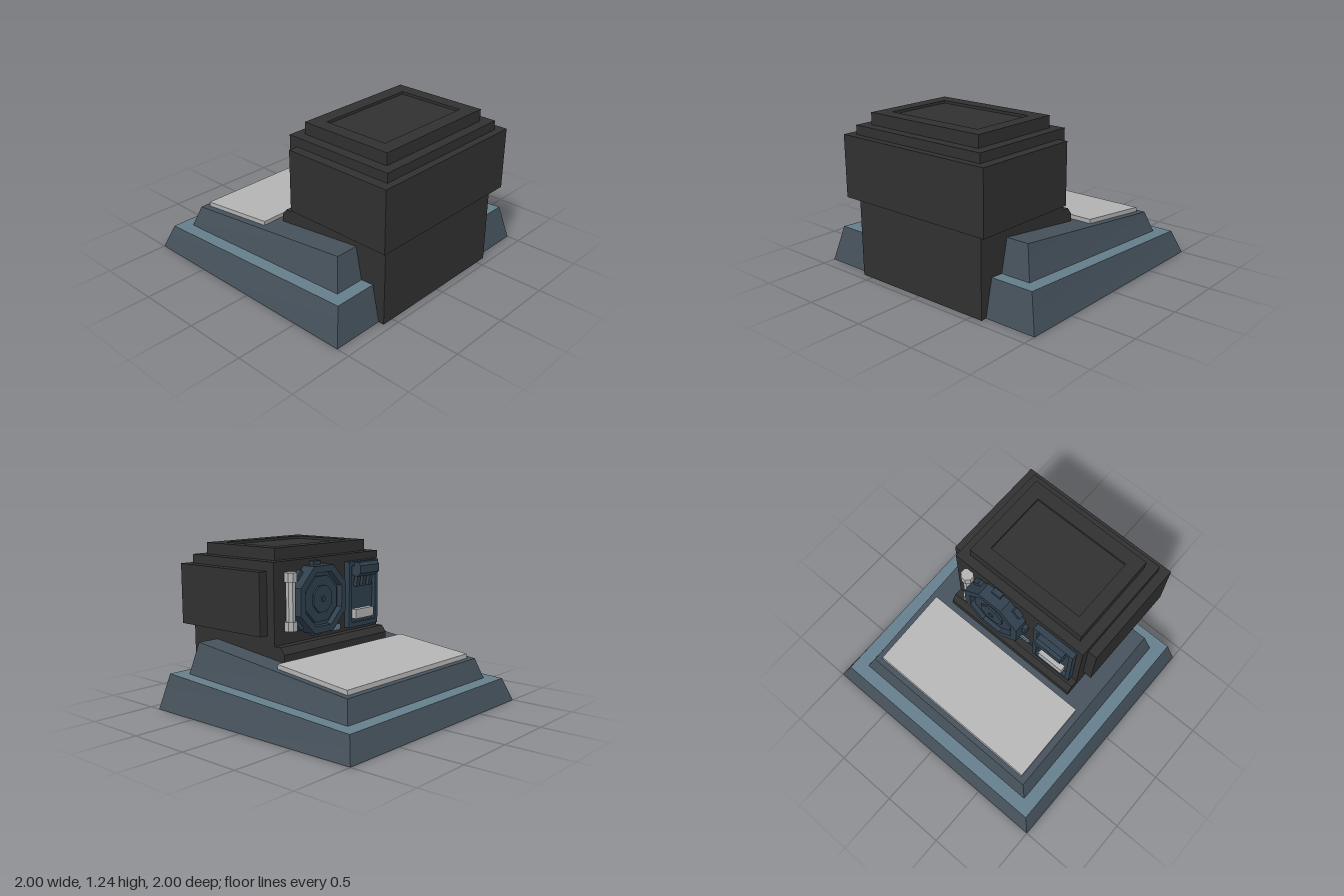
import * as THREE from 'three';

const mat = (name, color) => {
  const m = new THREE.MeshStandardMaterial({ color });
  m.name = name;
  return m;
};

export function createModel() {
  const black = mat('charcoal', 0x303030);
  const slate = mat('slate', 0x45515b);
  const steel = mat('steel blue', 0x647e8b);
  const navy = mat('dark blue', 0x30404d);
  const grey = mat('light grey', 0xb4b4b4);

  const model = new THREE.Group();
  model.name = 'console';

  const add = (name, geo, material, x = 0, y = 0, z = 0, parent = model) => {
    const m = new THREE.Mesh(geo, material);
    m.name = name;
    m.position.set(x, y, z);
    parent.add(m);
    return m;
  };

  // Box given by its minimum and maximum along each axis
  const box = (name, material, x0, x1, y0, y1, z0, z1, parent) =>
    add(name, new THREE.BoxGeometry(x1 - x0, y1 - y0, z1 - z0), material,
      (x0 + x1) / 2, (y0 + y1) / 2, (z0 + z1) / 2, parent);

  // Tapered block; each end is { x: half width, front: [z, y], back: [z, y] }
  const wedge = (name, low, high, material) => {
    const geo = new THREE.BoxGeometry(2, 2, 2);
    const p = geo.attributes.position;
    for (let i = 0; i < p.count; i++) {
      const end = p.getY(i) > 0 ? high : low;
      const [z, y] = p.getZ(i) > 0 ? end.front : end.back;
      p.setXYZ(i, Math.sign(p.getX(i)) * end.x, y, z);
    }
    geo.computeVertexNormals();
    return add(name, geo, material);
  };

  const rect = (w, h, Kind = THREE.Shape) => new Kind([
    [-w, -h], [w, -h], [w, h], [-w, h]].map(([x, y]) => new THREE.Vector2(x, y)));

  const extrude = (shape, depth) =>
    new THREE.ExtrudeGeometry(shape, { depth, bevelEnabled: false });

  // Regular octagon with flat sides, sized by its apothem
  const octagon = (r, Kind = THREE.Shape) => new Kind(
    Array.from({ length: 8 }, (_, i) => {
      const a = (i + 0.5) * Math.PI / 4, R = r / Math.cos(Math.PI / 8);
      return new THREE.Vector2(R * Math.cos(a), R * Math.sin(a));
    }));

  // Stepped, sloping base
  wedge('lowerBase',
    { x: 1, front: [0.9, 0], back: [-1, 0] },
    { x: 0.93, front: [0.84, 0.276], back: [-0.935, 0.18] },
    [slate, slate, steel, slate, slate, slate]);
  wedge('upperBase',
    { x: 0.83, front: [0.74, 0.26], back: [-0.835, 0.175] },
    { x: 0.77, front: [0.685, 0.515], back: [-0.78, 0.345] }, slate);

  // Sloping plate on the base
  wedge('plate',
    { x: 0.72, front: [-0.1, 0.422], back: [-0.74, 0.348] },
    { x: 0.72, front: [-0.095, 0.458], back: [-0.736, 0.384] }, grey);

  // Main housing with a wide band and a raised, recessed lid
  box('housing', black, -0.59, 0.59, 0, 1.15, 0.06, 0.945);
  box('band', black, -0.665, 0.665, 0.61, 1.08, 0.13, 1.0);
  box('lid', black, -0.51, 0.51, 1.14, 1.22, 0.13, 0.87);
  const rim = rect(0.51, 0.37);
  rim.holes.push(rect(0.405, 0.262, THREE.Path));
  add('lidRim', extrude(rim, 0.02), black, 0, 1.22, 0.5).rotation.x = -Math.PI / 2;

  // Chamfered ledge across the rear
  const ledge = new THREE.Shape([
    [0.08, 0.38], [-0.04, 0.38], [-0.04, 0.49], [0.0, 0.54], [0.08, 0.54],
  ].map(([z, y]) => new THREE.Vector2(-z, y)));
  add('ledge', extrude(ledge, 1.18), black, -0.59).rotation.y = Math.PI / 2;

  // Octagonal dial: local z runs from the housing to the back
  const dial = new THREE.Group();
  dial.name = 'dial';
  dial.position.set(0.175, 0.85, 0.06);
  dial.rotation.y = Math.PI;
  model.add(dial);
  add('dialBase', extrude(octagon(0.25), 0.06), navy, 0, 0, 0, dial);
  const ring = octagon(0.25);
  ring.holes.push(octagon(0.2, THREE.Path));
  add('dialRing', extrude(ring, 0.05), navy, 0, 0, 0.06, dial);
  add('dialFace', extrude(octagon(0.17), 0.025), navy, 0, 0, 0.06, dial);
  add('dialHub', extrude(octagon(0.1), 0.015), navy, 0, 0, 0.085, dial);
  add('dialPin', extrude(octagon(0.02), 0.01), navy, 0, 0, 0.1, dial);
  for (let i = 0; i < 8; i++) {
    const a = i * Math.PI / 4;
    add('dialTooth', new THREE.BoxGeometry(0.05, 0.08, 0.04), navy,
      0.255 * Math.cos(a), 0.255 * Math.sin(a), 0.02, dial).rotation.z = a;
  }

  // Upright tube beside the dial
  const rod = (name, r, y0, y1) => {
    const geo = new THREE.CylinderGeometry(r, r, y1 - y0, 8).toNonIndexed();
    geo.computeVertexNormals();
    add(name, geo, grey, 0.455, (y0 + y1) / 2, 0.025).rotation.y = Math.PI / 8;
  };
  rod('tube', 0.038, 0.7, 1.01);
  rod('tubeCap', 0.05, 0.64, 0.71);
  rod('tubeCap', 0.05, 1.0, 1.07);

  // Switch panel: frame, back plate, hood, prongs and pale block
  const frame = rect(0.178, 0.26);
  frame.holes.push(rect(0.145, 0.225, THREE.Path));
  add('panelFrame', extrude(frame, 0.05), navy, -0.365, 0.83, 0.012);
  box('panelBack', navy, -0.52, -0.21, 0.59, 1.07, 0.045, 0.065);
  const hood = new THREE.Shape([
    [0.06, 0.99], [-0.01, 0.97], [-0.05, 1.0], [-0.05, 1.06], [-0.03, 1.085], [0.06, 1.085],
  ].map(([z, y]) => new THREE.Vector2(-z, y)));
  add('panelHood', extrude(hood, 0.23), navy, -0.48).rotation.y = Math.PI / 2;
  for (const x of [-0.44, -0.365, -0.29]) {
    const prong = box('panelProng', navy, x - 0.02, x + 0.02, 0.89, 1.01, 0.0, 0.03);
    prong.rotation.x = -0.2;
  }
  box('panelBlock', grey, -0.475, -0.255, 0.635, 0.71, 0.0, 0.06);

  // Small pill-shaped light between dial and panel
  const pill = new THREE.Shape();
  pill.absarc(0.035, 0, 0.025, -Math.PI / 2, Math.PI / 2);
  pill.absarc(-0.035, 0, 0.025, Math.PI / 2, Math.PI * 1.5);
  add('indicator', extrude(pill, 0.015), steel, -0.065, 0.59, 0.047);

  return model;
}
